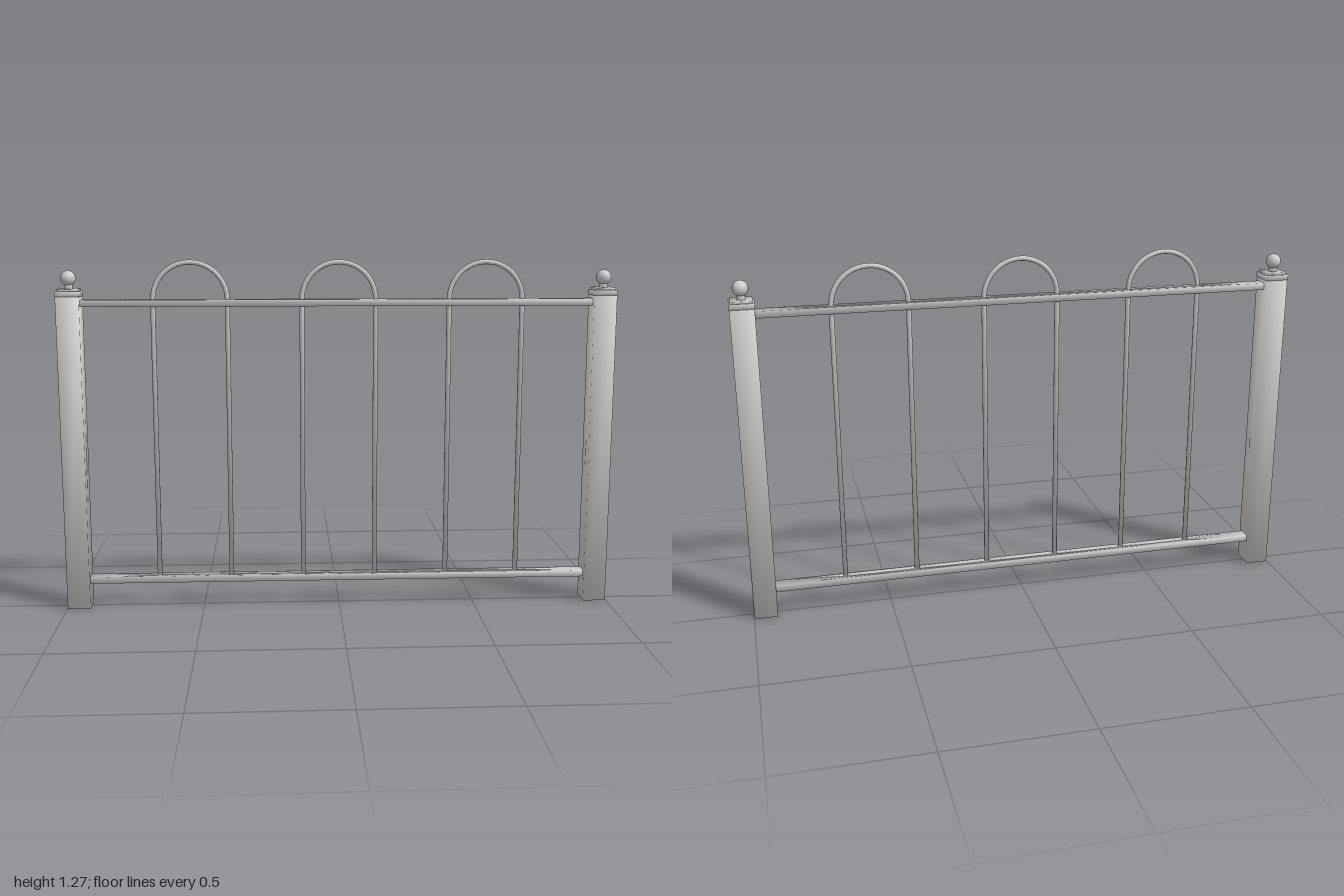
import * as THREE from 'three';
import { mergeVertices } from 'three/addons/utils/BufferGeometryUtils.js';

const material = new THREE.MeshStandardMaterial({ color: 0xcccccc });

// Shares all corners and averages the face normals by corner angle, so shading runs round every edge
function smooth(source) {
  source.deleteAttribute('normal');
  source.deleteAttribute('uv');
  const geometry = mergeVertices(source, 1e-5);
  const { position } = geometry.attributes;
  const index = geometry.index;
  const normals = Array.from({ length: position.count }, () => new THREE.Vector3());
  for (let i = 0; i < index.count; i += 3) {
    const ids = [0, 1, 2].map((k) => index.getX(i + k));
    const [a, b, c] = ids.map((id) => new THREE.Vector3().fromBufferAttribute(position, id));
    const face = b.clone().sub(a).cross(c.clone().sub(a));
    if (face.length() < 1e-10) continue;
    face.normalize();
    [[a, b, c], [b, c, a], [c, a, b]].forEach(([p, q, r], k) => {
      const angle = q.clone().sub(p).angleTo(r.clone().sub(p));
      normals[ids[k]].addScaledVector(face, angle);
    });
  }
  const flat = normals.flatMap((n) => n.normalize().toArray());
  geometry.setAttribute('normal', new THREE.Float32BufferAttribute(flat, 3));
  return geometry;
}

function add(parent, name, geometry, x = 0, y = 0, z = 0) {
  const mesh = new THREE.Mesh(geometry, material);
  mesh.name = name;
  mesh.position.set(x, y, z);
  parent.add(mesh);
}

const softBox = (w, h, d) => smooth(new THREE.BoxGeometry(w, h, d));

// Square post with a stepped cap and a ball finial
function createPost(name, x) {
  const post = new THREE.Group();
  post.name = name;
  post.position.x = x;
  add(post, 'postShaft', softBox(0.083, 1.142, 0.083), 0, 0.571);
  add(post, 'capPlate', softBox(0.086, 0.019, 0.086), 0, 1.1485);
  add(post, 'capStep', softBox(0.074, 0.01, 0.074), 0, 1.161);
  add(post, 'finialNeck', new THREE.CylinderGeometry(0.015, 0.015, 0.018, 16), 0, 1.173);
  add(post, 'finialBall', new THREE.SphereGeometry(0.027, 20, 14), 0, 1.203);
  return post;
}

const hoopCentres = [-0.53, 0, 0.53];
const hoopRadius = 0.1323;
const rodRadius = 0.009;

// Flat rail, drilled where the pickets pass through
function createRailGeometry() {
  const length = 1.84, depth = 0.048, height = 0.024;
  const shape = new THREE.Shape([
    new THREE.Vector2(-length / 2, -depth / 2),
    new THREE.Vector2(length / 2, -depth / 2),
    new THREE.Vector2(length / 2, depth / 2),
    new THREE.Vector2(-length / 2, depth / 2),
  ]);
  for (const centre of hoopCentres) {
    for (const side of [-1, 1]) {
      const hole = new THREE.Path();
      hole.absarc(centre + side * hoopRadius, 0, rodRadius, 0, Math.PI * 2, true);
      shape.holes.push(hole);
    }
  }
  const rail = new THREE.ExtrudeGeometry(shape, { depth: height, bevelEnabled: false, curveSegments: 10 });
  rail.translate(0, 0, -height / 2);
  rail.rotateX(-Math.PI / 2);
  return smooth(rail);
}

// Two upright pickets joined by a half-circle arch
function createHoop(x) {
  const bottom = 0.087, spring = 1.126;
  const hoop = new THREE.Group();
  hoop.name = 'hoop';
  hoop.position.x = x;
  const profile = [[0, bottom], [rodRadius, bottom], [rodRadius, spring]].map((p) => new THREE.Vector2(...p));
  for (const side of [-1, 1]) {
    add(hoop, 'picket', smooth(new THREE.LatheGeometry(profile, 10)), side * hoopRadius);
  }
  add(hoop, 'hoopArch', new THREE.TorusGeometry(hoopRadius, rodRadius, 10, 24, Math.PI), 0, spring);
  return hoop;
}

export function createModel() {
  const fence = new THREE.Group();
  fence.name = 'fencePanel';

  fence.add(createPost('leftPost', 0.957), createPost('rightPost', -0.957));

  // Rails between the posts
  const rail = createRailGeometry();
  add(fence, 'bottomRail', rail, 0, 0.101);
  add(fence, 'topRail', rail, 0, 1.115);

  for (const x of hoopCentres) fence.add(createHoop(x));
  return fence;
}
